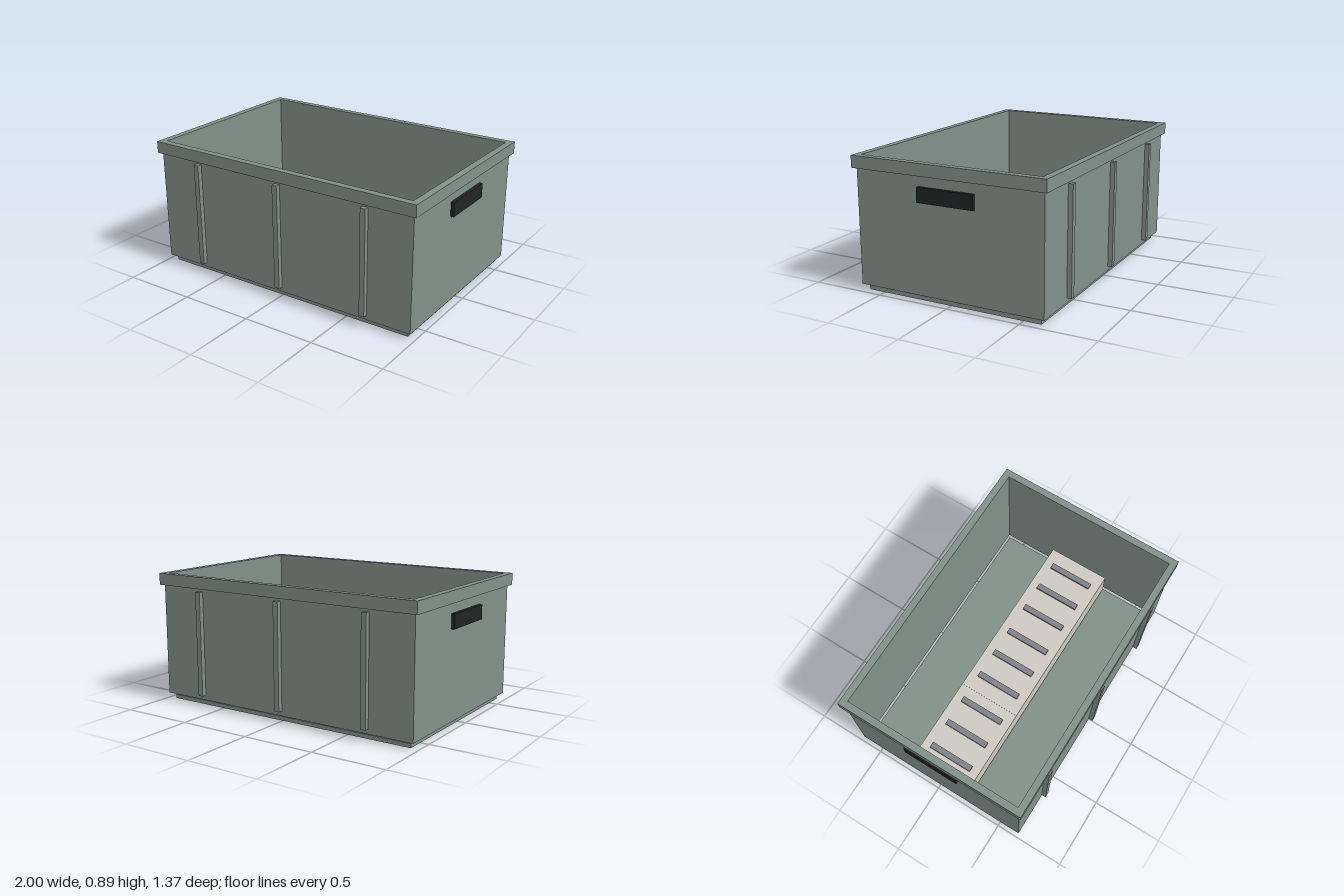
import * as THREE from 'three';

const material = (color) => new THREE.MeshStandardMaterial({ color });

export function createModel() {
  const crate = new THREE.Group();
  crate.name = 'storageCrate';
  const green = material(0x80918a);
  const black = material(0x222324);
  const cream = material(0xcdc9c0);
  const grey = material(0x7f8188);

  // Box given by its centre x and z, bottom and top heights, width and depth
  function box(name, mat, x, z, y0, y1, w, d, parent = crate) {
    const mesh = new THREE.Mesh(new THREE.BoxGeometry(w, y1 - y0, d), mat);
    mesh.position.set(x, (y0 + y1) / 2, z);
    mesh.name = name;
    parent.add(mesh);
    return mesh;
  }

  const rectangle = (target, hx, hz) => {
    target.moveTo(-hx, -hz);
    target.lineTo(hx, -hz);
    target.lineTo(hx, hz);
    target.lineTo(-hx, hz);
    target.closePath();
    return target;
  };

  // Open rectangular ring, extruded upwards
  function frame(name, hx, hz, innerX, innerZ, y0, y1) {
    const shape = rectangle(new THREE.Shape(), hx, hz);
    shape.holes.push(rectangle(new THREE.Path(), innerX, innerZ));
    const geometry = new THREE.ExtrudeGeometry(shape, { depth: y1 - y0, bevelEnabled: false });
    geometry.rotateX(-Math.PI / 2).translate(0, y0, 0);
    const mesh = new THREE.Mesh(geometry, green);
    mesh.name = name;
    crate.add(mesh);
  }

  // Shell: floor panel, walls raised slightly above it, and rim
  box('floor', green, 0, 0, 0, 0.027, 1.886, 1.236);
  frame('walls', 0.976, 0.651, 0.953, 0.628, 0.043, 0.81);
  frame('rim', 1, 0.675, 0.953, 0.628, 0.81, 0.89);

  // Upright ribs on the long sides and grips on the short sides
  for (const side of [-1, 1]) {
    for (const x of [-0.65, 0, 0.65]) {
      box('rib', green, x, side * 0.665, 0.075, 0.79, 0.037, 0.035);
    }
    box('handle', black, side * 0.986, 0, 0.645, 0.742, 0.026, 0.393);
  }

  // Three packs lying inside, each with three cross strips
  [-0.61, 0, 0.61].forEach((x, i) => {
    const pack = new THREE.Group();
    pack.name = 'pack';
    crate.add(pack);
    box('packBody', cream, x, 0, 0.05, 0.25 + (i === 1 ? 0.001 : 0), 0.64, 0.45, pack);
    for (const dx of [-0.195, 0, 0.195]) {
      box('packStrip', grey, x + dx, 0, 0.24, 0.265, 0.042, 0.325, pack);
    }
  });

  return crate;
}
